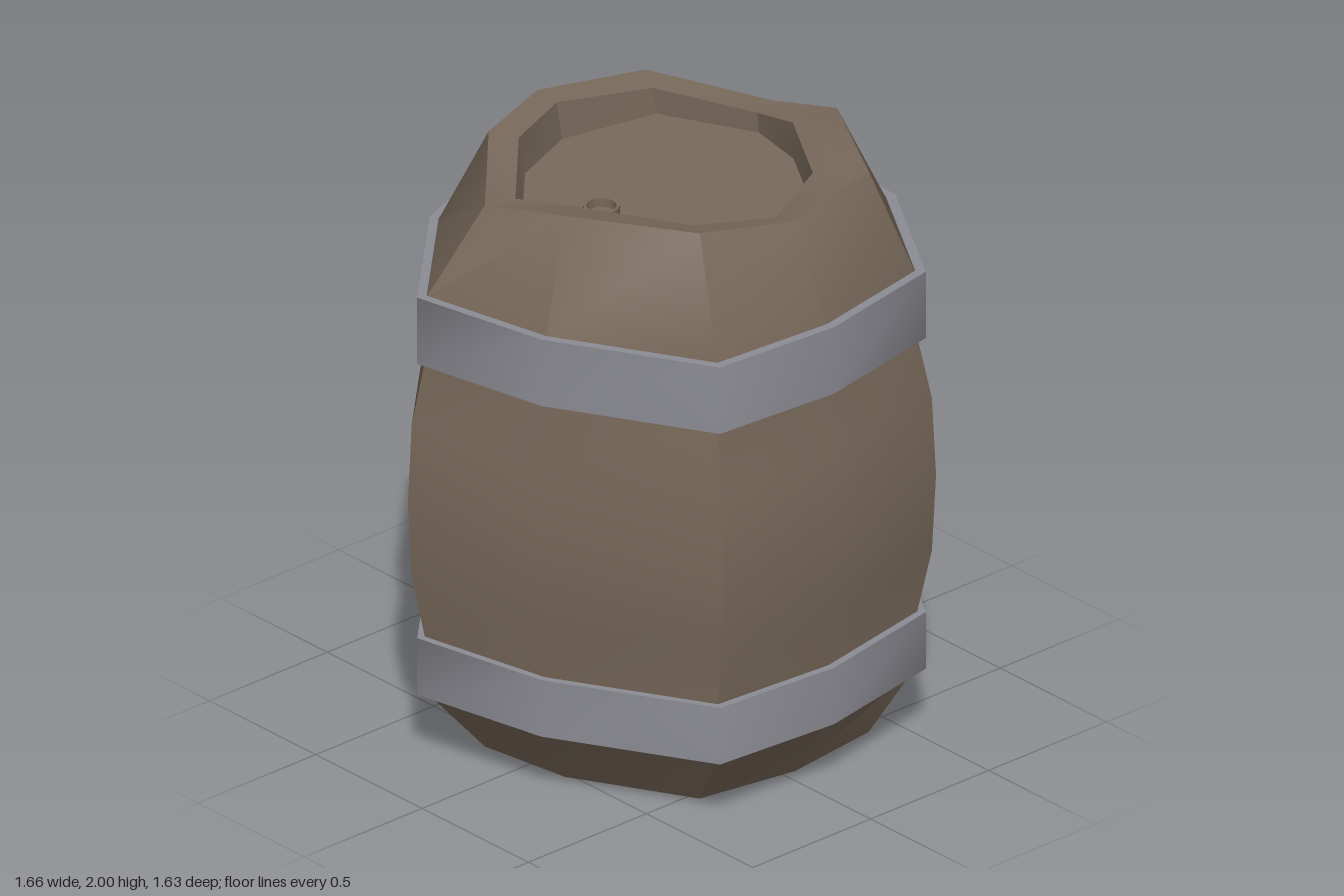
import * as THREE from 'three';
import { toCreasedNormals } from 'three/addons/utils/BufferGeometryUtils.js';

// Widest outline of the staves [x, z], from the back round by +x
const OUTLINE = [[0.025, -0.82], [0.53, -0.735], [0.828, -0.23], [0.828, 0.24], [0.53, 0.72],
  [0.04, 0.815], [-0.43, 0.78], [-0.73, 0.24], [-0.83, -0.255], [-0.41, -0.66]];
// Uneven top rim, outer and inner edges [x, y, z]
const RIM = [[0.03, 1.96, -0.6], [0.43, 1.92, -0.535], [0.615, 1.895, -0.15], [0.615, 1.985, 0.16],
  [0.397, 1.985, 0.55], [0.045, 1.945, 0.595], [-0.305, 2, 0.535], [-0.52, 1.985, 0.14],
  [-0.567, 1.915, -0.185], [-0.28, 1.965, -0.485]];
const INNER = [[0.03, 1.95, -0.51], [0.375, 1.91, -0.44], [0.53, 1.89, -0.12], [0.49, 1.95, 0.09],
  [0.305, 1.95, 0.39], [0.045, 1.925, 0.505], [-0.245, 1.97, 0.435], [-0.435, 1.96, 0.05],
  [-0.465, 1.915, -0.155], [-0.22, 1.95, -0.41]];

const ringAt = (scale, y) => OUTLINE.map(([x, z]) => [x * scale, y, z * scale]);
const level = (ring, y, scale = 1, dx = 0) => ring.map(([x, , z]) => [x * scale + dx, y, z * scale]);

// Skin a list of equal rings, creasing edges sharper than the given angle
function skin(rings, crease) {
  const positions = [];
  const triangle = (a, b, c) => {
    const same = (p, q) => p.every((v, k) => Math.abs(v - q[k]) < 1e-6);
    if (!same(a, b) && !same(b, c) && !same(a, c)) positions.push(...a, ...b, ...c);
  };
  for (let r = 0; r < rings.length - 1; r++) {
    const low = rings[r], high = rings[r + 1];
    for (let i = 0; i < low.length; i++) {
      const j = (i + 1) % low.length;
      triangle(low[j], low[i], high[i]);
      triangle(low[j], high[i], high[j]);
    }
  }
  const geometry = new THREE.BufferGeometry();
  geometry.setAttribute('position', new THREE.Float32BufferAttribute(positions, 3));
  return toCreasedNormals(geometry, crease);
}

export function createModel() {
  const group = new THREE.Group();
  const wood = new THREE.MeshStandardMaterial({ color: 0x78695a });
  wood.name = 'wood';
  const metal = new THREE.MeshStandardMaterial({ color: 0x8c8c94 });
  metal.name = 'metal';

  const add = (name, geometry, material) => {
    const mesh = new THREE.Mesh(geometry, material);
    mesh.name = name;
    group.add(mesh);
    return mesh;
  };

  // Bulging staves with the recessed bottom and top rims
  add('staves', skin([
    level(RIM, 0.08, 0.84), level(RIM, 0, 0.84), level(RIM, 0),
    ringAt(0.925, 0.24), ringAt(0.93, 0.43), ringAt(0.985, 0.66), ringAt(1, 0.93),
    ringAt(0.985, 1.2), ringAt(0.93, 1.42), ringAt(0.925, 1.64),
    RIM, INNER, level(INNER, 1.82, 0.98, 0.015),
  ], 0.5), wood);

  // Flat lids inside the rims
  const bottom = level(RIM, 0.08, 0.84);
  add('bottomLid', skin([level(bottom, 0.08, 0), bottom], 0.5), wood);
  const top = level(INNER, 1.82, 0.98, 0.015);
  add('topLid', skin([top, level(top, 1.82, 0)], 0.5), wood);

  // Metal hoops
  for (const [name, y0, y1] of [['lowerHoop', 0.24, 0.44], ['upperHoop', 1.41, 1.645]]) {
    const inside = 0.925, outside = 0.963;
    add(name, skin([ringAt(inside, y0), ringAt(outside, y0), ringAt(outside, y1),
      ringAt(inside, y1), ringAt(inside, y0)], 1.05), metal);
  }

  // Hollow bung on the top lid
  const profile = [[0.058, 0], [0.058, 0.05], [0.048, 0.05], [0.048, 0.02], [0, 0.02]]
    .map(([r, y]) => new THREE.Vector2(r, y));
  const bung = add('bung', toCreasedNormals(new THREE.LatheGeometry(profile, 16), 0.6), wood);
  bung.position.set(-0.235, 1.82, -0.005);

  return group;
}
